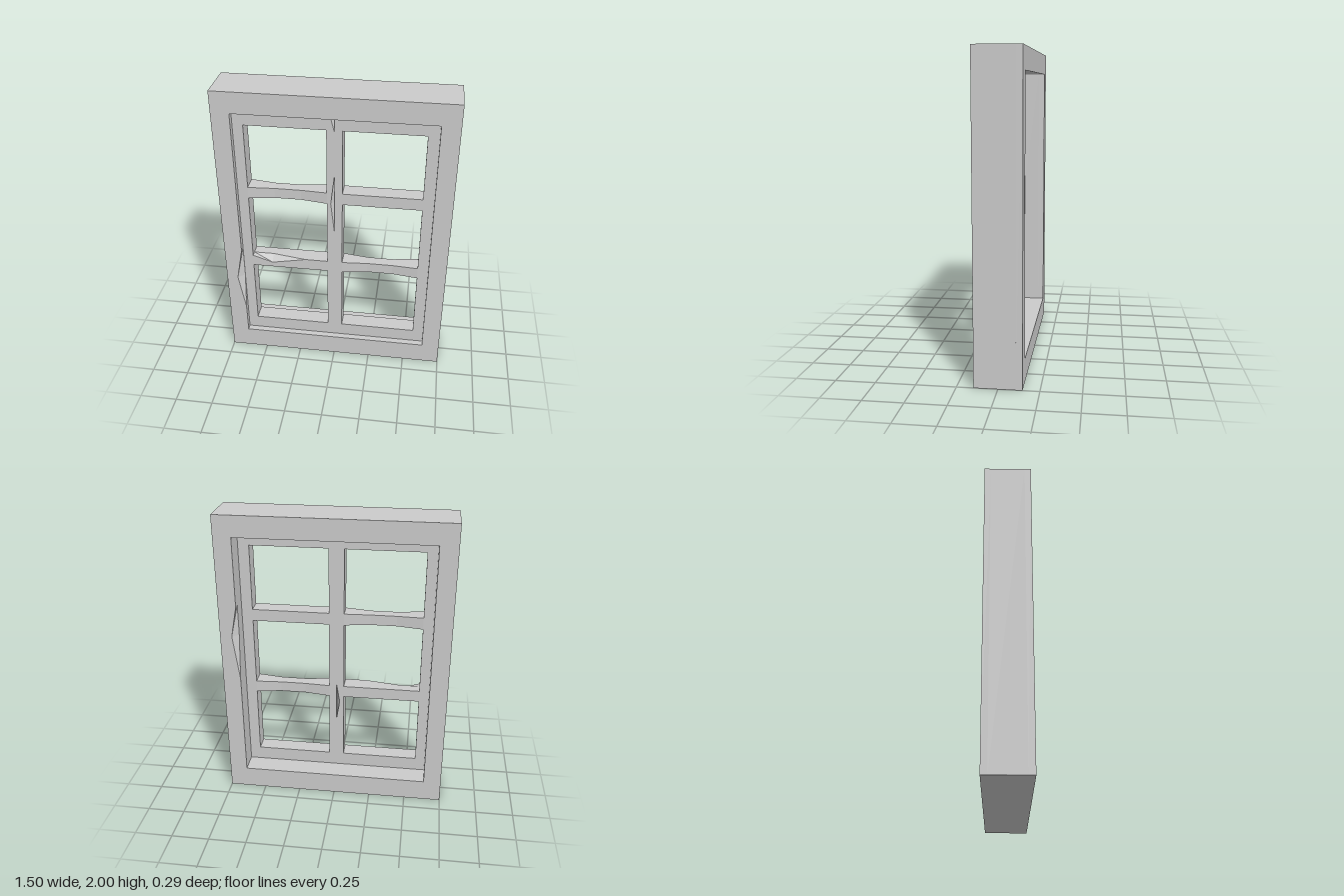
import * as THREE from 'three';

const material = new THREE.MeshStandardMaterial({ color: 0xcccccc, flatShading: true });
const rect = (x0, y0, x1, y1) => [[x0, y0], [x1, y0], [x1, y1], [x0, y1]];
const toPath = (pts) => pts.map(([x, y]) => new THREE.Vector2(x, y));

function addMesh(parent, name, geometry) {
  const mesh = new THREE.Mesh(geometry, material);
  mesh.name = name;
  parent.add(mesh);
}

// Flat slab with openings. Each chip [apexX, apexY, restX, restY] is a nick in
// the outline that closes towards the slab's inner side (inner = its z).
function slab(outline, holes, z0, z1, chips = [], inner = z0) {
  const shape = new THREE.Shape(toPath(outline));
  for (const h of holes) shape.holes.push(new THREE.Path(toPath(h)));
  const geo = new THREE.ExtrudeGeometry(shape, { depth: z1 - z0, bevelEnabled: false });
  geo.translate(0, 0, z0);
  const p = geo.attributes.position;
  for (let i = 0; i < p.count; i++) {
    if (Math.abs(p.getZ(i) - inner) > 1e-4) continue;
    for (const [ax, ay, rx, ry] of chips) {
      if (Math.hypot(p.getX(i) - ax, p.getY(i) - ay) < 1e-4) p.setXY(i, rx, ry);
    }
  }
  geo.computeVertexNormals();
  return geo;
}

// Glazing bar worn thinner towards the middle of its length
function wornBar(x0, x1, y0, y1, z0, z1) {
  const geo = new THREE.BoxGeometry(x1 - x0, y1 - y0, z1 - z0, 3, 1, 1);
  const p = geo.attributes.position;
  for (let i = 0; i < p.count; i++) {
    if (Math.abs(p.getX(i)) < (x1 - x0) * 0.4) {
      p.setY(i, p.getY(i) * 0.88);
      p.setZ(i, p.getZ(i) * 0.66);
    }
  }
  geo.translate((x0 + x1) / 2, (y0 + y1) / 2, (z0 + z1) / 2);
  geo.computeVertexNormals();
  return geo;
}

export function createModel() {
  const model = new THREE.Group();
  model.name = 'window';

  // Outer frame: front and back layers carry a chip on the opening's edge
  const frame = new THREE.Group();
  frame.name = 'outerFrame';
  const outer = rect(-0.75, 0, 0.75, 2);
  const X = 0.632, Y0 = 0.147, Y1 = 1.86, D = 0.147;
  const frontHole = [...rect(-X, Y0, X, Y1), [-X, 0.85], [-0.675, 0.62], [-X, 0.36]];
  const backHole = [[-X, Y0], [X, Y0], [X, 0.88], [0.672, 1.19], [X, 1.4], [X, Y1], [-X, Y1]];
  addMesh(frame, 'frameFront', slab(outer, [frontHole], 0.107, D, [[-0.675, 0.62, -X, 0.62]], 0.107));
  addMesh(frame, 'frameCore', slab(outer, [rect(-X, Y0, X, Y1)], -0.107, 0.107));
  addMesh(frame, 'frameBack', slab(outer, [backHole], -D, -0.107, [[0.672, 1.19, X, 1.19]], -0.107));
  model.add(frame);

  // Sash, recessed in the frame, in two halves that meet at x = 0
  const sash = new THREE.Group();
  sash.name = 'sash';
  const zf = 0.105, zb = -0.005, nick = 0.04;
  const right = rect(-X, Y0, 0, Y1);
  const low = rect(-0.565, 0.24, -0.05, 0.71);
  const tall = rect(-0.565, 0.79, -0.05, 1.77);

  // Front layer: centre nick, top corner nick and lower bar nick
  const rightFront = [[-X, Y0], [0, Y0], [0, 1.02], [-0.025, 1.25], [0, 1.46],
    [0, 1.76], [-0.02, 1.84], [-0.12, Y1], [-X, Y1]];
  const tallFront = [[-0.565, 0.79], [-0.43, 0.745], [-0.2, 0.79], [-0.05, 0.79], [-0.05, 1.77], [-0.565, 1.77]];
  addMesh(sash, 'rightSashFront', slab(rightFront, [low, tallFront], zf - nick, zf, [
    [-0.025, 1.25, 0, 1.25], [-0.02, 1.84, 0, Y1], [-0.43, 0.745, -0.43, 0.79],
  ], zf - nick));
  addMesh(sash, 'rightSashCore', slab(right, [low, tall], zb + nick, zf - nick));
  const rightBack = [[-X, Y0], [0, Y0], [0, 0.53], [-0.022, 0.67], [0, 0.81], [0, Y1], [-X, Y1]];
  addMesh(sash, 'rightSashBack', slab(rightBack, [low, tall], zb, zb + nick,
    [[-0.022, 0.67, 0, 0.67]], zb + nick));

  addMesh(sash, 'leftSash', slab(rect(0, Y0, X, Y1),
    [rect(0.05, 0.24, 0.56, 1.25), rect(0.05, 1.33, 0.56, 1.77)], zb, zf));

  // Worn glazing bars
  addMesh(sash, 'upperRightBar', wornBar(-0.565, -0.05, 1.25, 1.33, zb, zf));
  addMesh(sash, 'lowerLeftBar', wornBar(0.05, 0.56, 0.71, 0.79, zb, zf));
  model.add(sash);
  return model;
}
